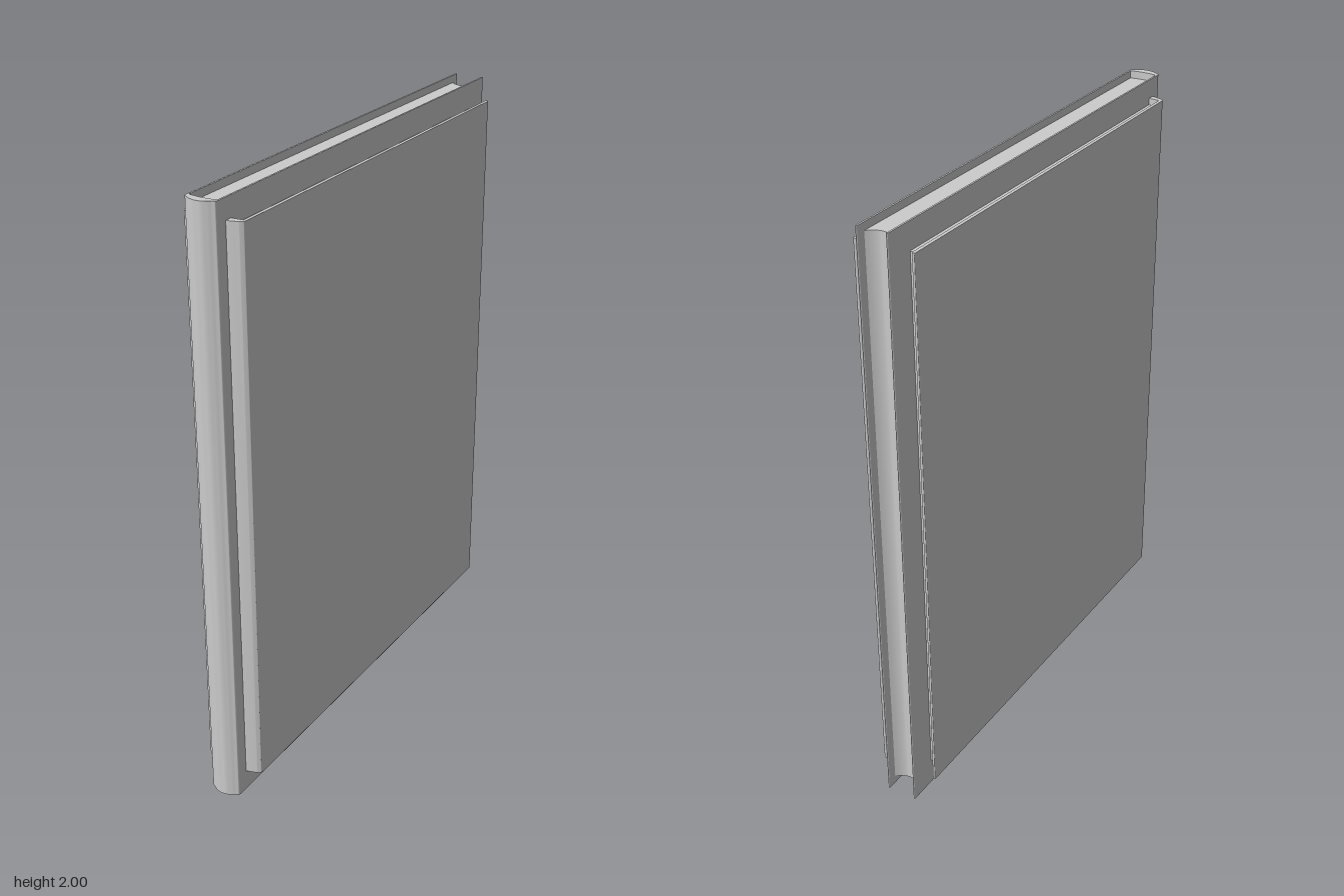
import * as THREE from 'three';
import { toCreasedNormals } from 'three/addons/utils/BufferGeometryUtils.js';

const grey = new THREE.MeshStandardMaterial({ color: 0xcccccc });

// Extrudes a plan outline (shape x = x, shape y = -z) upwards from y0 to y1.
function upright(name, shape, y0, y1) {
  const geo = new THREE.ExtrudeGeometry(shape, { depth: y1 - y0, bevelEnabled: false, curveSegments: 12 });
  geo.rotateX(-Math.PI / 2).translate(0, y0, 0);
  const mesh = new THREE.Mesh(toCreasedNormals(geo, 0.6), grey);
  mesh.name = name;
  return mesh;
}

// U-shaped case: two thin boards with rounded fore edges joined by a convex spine.
function caseShape({ w, t, back, corner, mid, round, inner }) {
  const s = new THREE.Shape();
  const r = t / 2;
  s.moveTo(-w, -back - r);
  s.lineTo(-w, -corner + round);
  s.quadraticCurveTo(-w, -corner, -w + round, -corner - round * 0.25);
  s.quadraticCurveTo(0, -2 * mid + corner + round * 0.25, w - round, -corner - round * 0.25);
  s.quadraticCurveTo(w, -corner, w, -corner + round);
  s.lineTo(w, -back - r);
  s.absarc(w - r, -back - r, r, 0, Math.PI, false);
  s.lineTo(w - t, -inner);
  s.quadraticCurveTo(0, -inner - 0.01, -w + t, -inner);
  s.lineTo(-w + t, -back - r);
  s.absarc(-w + r, -back - r, r, 0, Math.PI, false);
  return s;
}

// Page block with a hollow fore edge, tucked against the inside of the spine.
function pageShape({ w, t, inner, pageEdge, hollow }) {
  const s = new THREE.Shape();
  const x = w - t;
  s.moveTo(-x, -inner);
  s.quadraticCurveTo(0, -inner - 0.01, x, -inner);
  s.lineTo(x, -pageEdge);
  s.quadraticCurveTo(0, -pageEdge - 2 * hollow, -x, -pageEdge);
  s.closePath();
  return s;
}

function book(name, p) {
  const g = new THREE.Group();
  g.name = name;
  g.add(
    upright('coverAndSpine', caseShape(p), p.y0, p.y1),
    upright('pages', pageShape(p), p.y0 + p.inset, p.y1 - p.inset)
  );
  return g;
}

export function createModel() {
  const model = new THREE.Group();
  model.name = 'books';
  // Tall slim book running through a shorter, thicker one
  model.add(
    book('tallBook', {
      w: 0.053, t: 0.006, back: -0.8, corner: 0.78, mid: 0.8, round: 0.008,
      inner: 0.765, pageEdge: -0.768, hollow: 0.023, y0: 0, y1: 2, inset: 0.025
    }),
    book('thickBook', {
      w: 0.102, t: 0.011, back: -0.75, corner: 0.725, mid: 0.745, round: 0.014,
      inner: 0.71, pageEdge: -0.715, hollow: 0.022, y0: 0.07, y1: 1.935, inset: 0.022
    })
  );
  return model;
}
